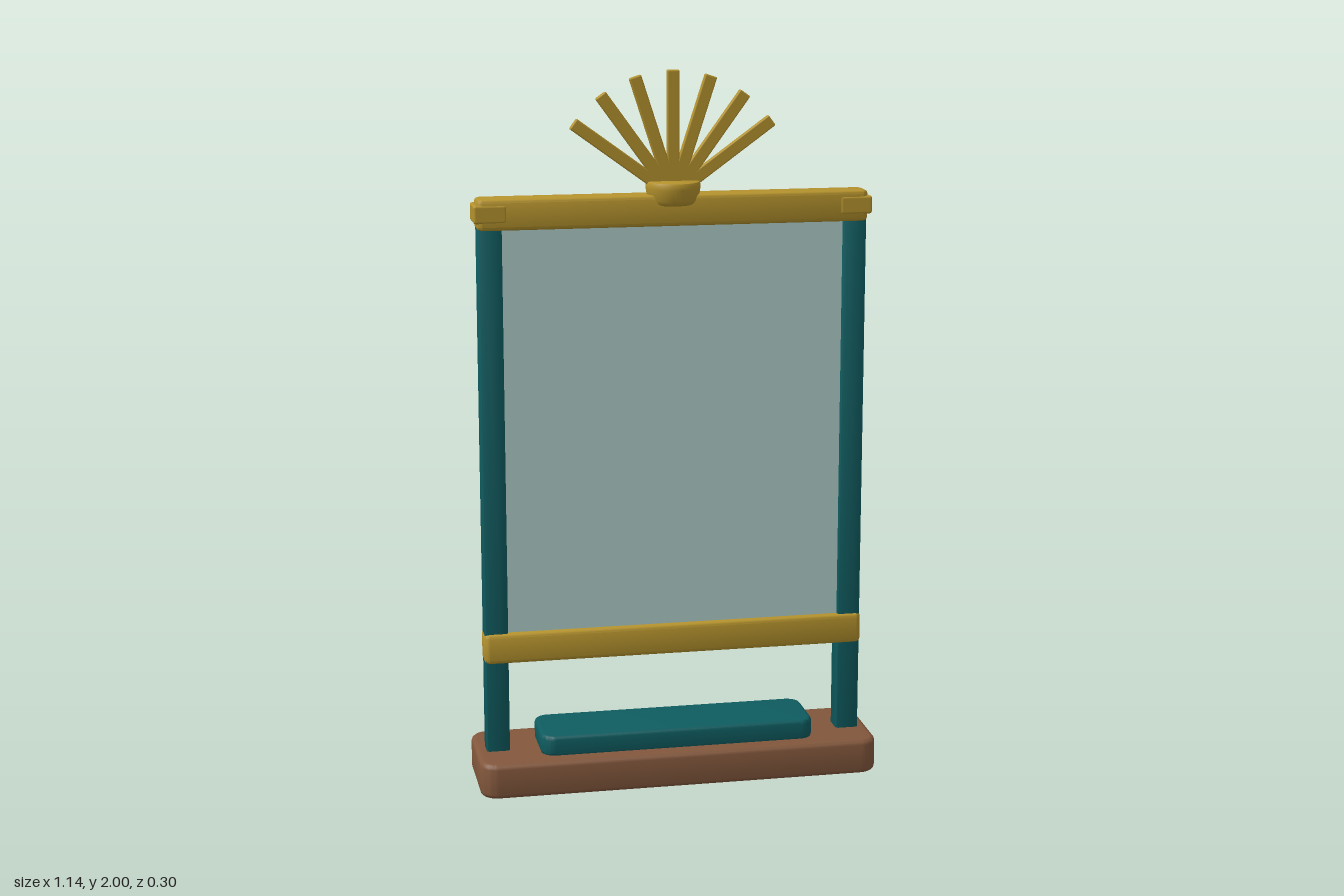
import * as THREE from 'three';
import { toCreasedNormals } from 'three/addons/utils/BufferGeometryUtils.js';
import { RoundedBoxGeometry } from 'three/addons/geometries/RoundedBoxGeometry.js';

function material(name, color) {
  const m = new THREE.MeshStandardMaterial({ color });
  m.name = name;
  return m;
}

// Upright slab: rounded-rectangle plan, bevelled top and bottom edges, standing on y = 0
function slabGeometry(w, h, d, corner, bevel) {
  const x = w / 2 - bevel, y = d / 2 - bevel, r = Math.max(corner - bevel, 0.001);
  const s = new THREE.Shape();
  s.moveTo(-x + r, -y);
  s.lineTo(x - r, -y);
  s.absarc(x - r, -y + r, r, -Math.PI / 2, 0);
  s.lineTo(x, y - r);
  s.absarc(x - r, y - r, r, 0, Math.PI / 2);
  s.lineTo(-x + r, y);
  s.absarc(-x + r, y - r, r, Math.PI / 2, Math.PI);
  s.lineTo(-x, -y + r);
  s.absarc(-x + r, -y + r, r, Math.PI, Math.PI * 1.5);
  const g = new THREE.ExtrudeGeometry(s, {
    depth: h - 2 * bevel, bevelThickness: bevel, bevelSize: bevel, bevelSegments: 3, curveSegments: 6,
  });
  g.translate(0, 0, bevel);
  g.rotateX(-Math.PI / 2);
  return toCreasedNormals(g, 0.7);
}

export function createModel() {
  const group = new THREE.Group();
  group.name = 'standingMirror';
  const teal = material('teal paint', 0x0e5c60);
  const gold = material('gold', 0xb4922d);
  const wood = material('brown wood', 0x82573c);
  const glass = material('pale glass', 0xadccc7);

  function add(name, geometry, mat, x = 0, y = 0, z = 0) {
    const mesh = new THREE.Mesh(geometry, mat);
    mesh.name = name;
    mesh.position.set(x, y, z);
    group.add(mesh);
    return mesh;
  }

  // Foot and the padded step on it
  add('base', slabGeometry(1.14, 0.1, 0.3, 0.05, 0.014), wood);
  add('basePad', slabGeometry(0.784, 0.06, 0.2, 0.04, 0.01), teal, 0, 0.095);

  // Side posts with square caps on the top rail
  for (const side of [-1, 1]) {
    const label = side > 0 ? 'left' : 'right';
    add(label + 'Post', slabGeometry(0.066, 1.53, 0.066, 0.01, 0.006), teal, side * 0.508, 0.09);
    add(label + 'Cap', new RoundedBoxGeometry(0.09, 0.05, 0.09, 2, 0.007), gold, side * 0.508, 1.625);
  }

  // Cross rails
  add('bottomRail', slabGeometry(1.086, 0.085, 0.086, 0.02, 0.01), gold, 0, 0.36);
  add('topRail', slabGeometry(1.086, 0.085, 0.086, 0.02, 0.01), gold, 0, 1.58);

  // Mirror glass and backing board
  add('mirrorGlass', new THREE.BoxGeometry(0.955, 1.17, 0.045), glass, 0, 1.015, -0.0025);
  add('backPanel', new RoundedBoxGeometry(1.016, 1.19, 0.036, 2, 0.008), teal, 0, 1.025, -0.044);

  // Round hub carrying the fan crest
  const profile = [[0, 0], [0.055, 0], [0.064, 0.004], [0.07, 0.014], [0.075, 0.045],
    [0.075, 0.056], [0.072, 0.062], [0.067, 0.064], [0, 0.064]];
  const hub = new THREE.LatheGeometry(profile.map(([x, y]) => new THREE.Vector2(x, y)), 40);
  add('crestHub', toCreasedNormals(hub, 0.7), gold, 0, 1.636);

  // Seven rays fanned in 18 degree steps
  const length = 0.34;
  const rayGeometry = new RoundedBoxGeometry(0.034, length, 0.02, 2, 0.004);
  rayGeometry.translate(0, length / 2, 0);
  for (let i = -3; i <= 3; i++) {
    const ray = add('crestRay' + (i + 4), rayGeometry, gold, 0, 1.66);
    ray.rotation.z = THREE.MathUtils.degToRad(i * 18);
  }

  return group;
}
